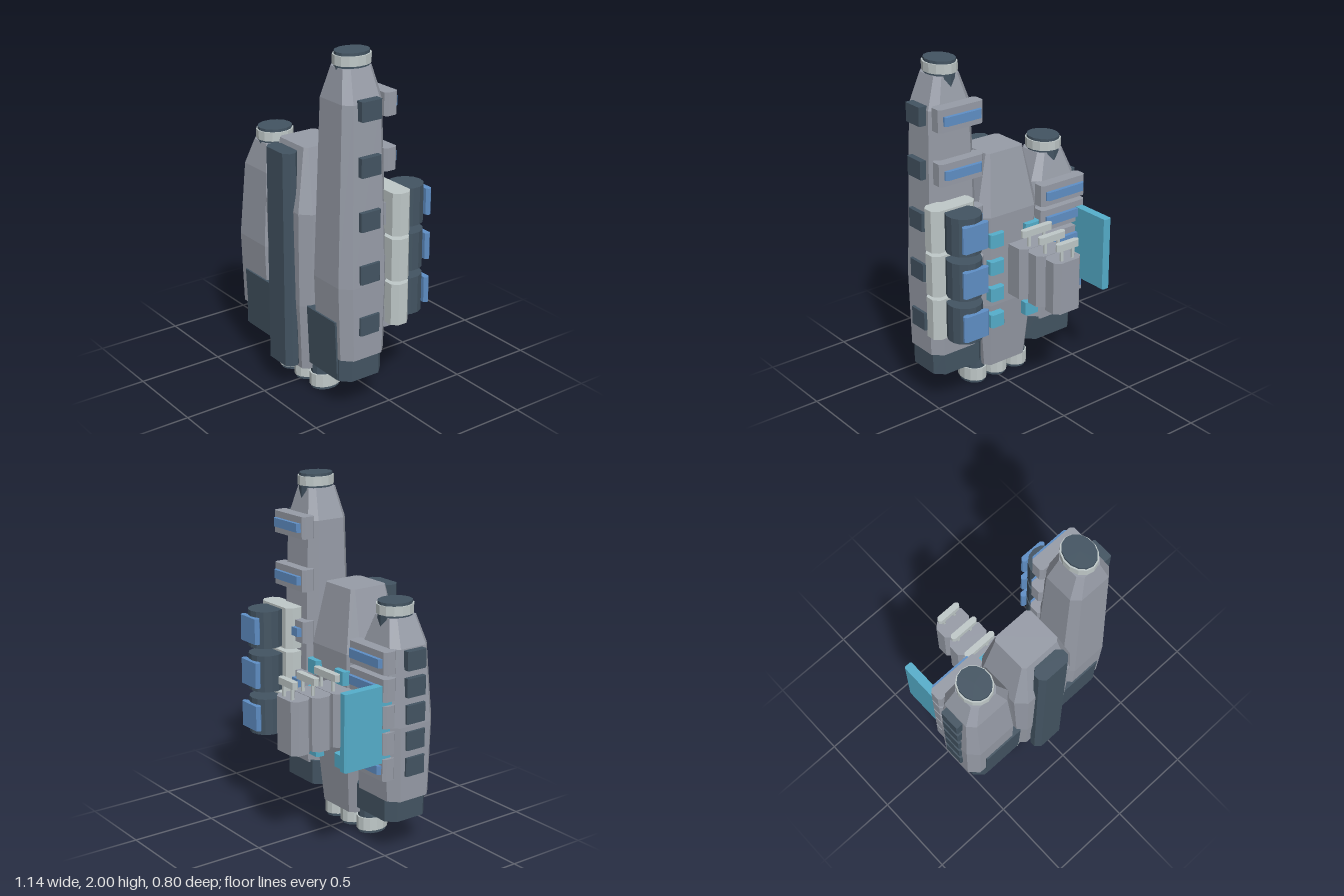
import * as THREE from 'three';

const mat = (name, color) => {
  const m = new THREE.MeshStandardMaterial({ color });
  m.name = name;
  return m;
};

export function createModel() {
  const root = new THREE.Group();
  root.name = 'spaceStation';
  const grey = mat('hull grey', 0x979ca7);
  const dark = mat('dark slate', 0x435462);
  const light = mat('pale metal', 0xbfc8c8);
  const blue = mat('window blue', 0x5f8fc6);
  const cyan = mat('panel cyan', 0x55aecb);

  const add = (name, geometry, material) => {
    const mesh = new THREE.Mesh(geometry, material);
    mesh.name = name;
    root.add(mesh);
    return mesh;
  };

  // Lofted prism with chamfered corners; sections are [y, x0, x1, z0, z1, chamfer]
  function loft(name, material, sections) {
    const rings = sections.map(([y, x0, x1, z0, z1, c]) => [
      [x1, z1 - c], [x1, z0 + c], [x1 - c, z0], [x0 + c, z0],
      [x0, z0 + c], [x0, z1 - c], [x0 + c, z1], [x1 - c, z1],
    ].map(([x, z]) => [x, y, z]));
    const pos = [];
    const tri = (a, b, c) => pos.push(...a, ...b, ...c);
    for (let s = 0; s < rings.length - 1; s++) {
      const lo = rings[s], hi = rings[s + 1];
      for (let i = 0; i < 8; i++) {
        const j = (i + 1) % 8;
        tri(lo[i], lo[j], hi[j]);
        tri(lo[i], hi[j], hi[i]);
      }
    }
    const bottom = rings[0], top = rings[rings.length - 1];
    for (let i = 1; i < 7; i++) {
      tri(top[0], top[i], top[i + 1]);
      tri(bottom[0], bottom[i + 1], bottom[i]);
    }
    const g = new THREE.BufferGeometry();
    g.setAttribute('position', new THREE.Float32BufferAttribute(pos, 3));
    g.computeVertexNormals();
    return add(name, g, material);
  }

  const block = (name, material, x0, x1, y0, y1, z0, z1, c = 0.012) =>
    loft(name, material, [[y0, x0, x1, z0, z1, c], [y1, x0, x1, z0, z1, c]]);

  // Faceted elliptical cylinder between two heights
  function drum(name, material, x, z, rx, rz, y0, y1) {
    const g = new THREE.CylinderGeometry(1, 1, y1 - y0, 14).toNonIndexed();
    g.scale(rx, 1, rz);
    g.translate(x, (y0 + y1) / 2, z);
    g.computeVertexNormals();
    return add(name, g, material);
  }

  // Central core and the dark spine on its front
  loft('core', grey, [
    [0.125, -0.165, 0.13, 0.03, 0.31, 0.03],
    [0.53, -0.205, 0.17, -0.005, 0.34, 0.045],
    [1.08, -0.228, 0.192, -0.02, 0.35, 0.055],
    [1.43, -0.145, 0.11, 0.04, 0.28, 0.018],
  ]);
  block('spine', dark, -0.12, 0.09, 0.15, 1.41, 0.3, 0.395, 0.03);

  // Engine nozzles
  for (const x of [-0.168, -0.018, 0.132]) {
    drum('nozzleNeck', dark, x, 0.172, 0.069, 0.087, 0, 0.25);
    drum('nozzleCollar', light, x, 0.172, 0.076, 0.097, 0.018, 0.095);
  }

  // Side towers: side is the outward x direction
  const towers = [
    { side: -1, x: -0.375, hw: 0.18, shoulder: 1.18, top: 1.33, step: 0.15, capX: 0.09, plate: 0.16, foot: [-0.52, -0.175], apron: [-0.455, -0.19] },
    { side: 1, x: 0.34, hw: 0.165, shoulder: 1.75, top: 1.92, step: 0.3, capX: 0.081, plate: 0.145, foot: [0.15, 0.485], apron: [0.16, 0.425] },
  ];
  for (const t of towers) {
    const ring = (y, w, d, c) => [y, t.x - w, t.x + w, 0.155 - d, 0.155 + d, c];
    loft('tower', grey, [
      ring(0.32, t.hw - 0.004, 0.145, 0.052),
      ring(0.75, t.hw, 0.16, 0.055),
      ring(t.shoulder, t.hw - 0.028, 0.128, 0.042),
      ring(t.top, t.capX, 0.092, 0.03),
    ]);

    // Dark foot with an apron climbing the front face
    block('towerFoot', dark, ...t.foot, 0.19, 0.335, 0.018, 0.3, 0.05);
    loft('footApron', dark, [
      [0.19, ...t.apron, 0.2, 0.302, 0.004],
      [0.54, ...t.apron, 0.2, 0.318, 0.004],
    ]);

    // Cap with pale collar
    drum('towerCap', dark, t.x, 0.15, t.capX, 0.1, t.top - 0.09, t.top + 0.08);
    drum('towerCollar', light, t.x, 0.15, t.capX + 0.009, 0.108, t.top + 0.012, t.top + 0.064);

    // Side hatches and rear window ledges
    for (let i = 0; i < 5; i++) {
      const y = 0.52 + i * t.step;
      const out = t.side < 0 ? -0.57 : 0.52;
      const inn = out - t.side * 0.07;
      block('sideHatch', dark, Math.min(out, inn), Math.max(out, inn), y - 0.053, y + 0.053, 0.088, 0.215, 0.006);
      block('rearLedge', grey, t.x - t.plate, t.x + t.plate, y - 0.063, y + 0.063, -0.042, 0.04, 0.015);
      block('rearWindow', blue, t.x - t.plate + 0.024, t.x + t.plate - 0.024, y - 0.025, y + 0.025, -0.064, -0.03);
    }
  }

  // Storage tanks on the taller tower
  for (const y of [0.61, 0.87, 1.13]) {
    block('tankMount', light, 0.28, 0.567, y - 0.12, y + 0.12, -0.088, 0.028, 0.03);
    drum('tank', dark, 0.422, -0.15, 0.098, 0.1, y - 0.108, y + 0.108);
    block('tankWindow', blue, 0.34, 0.505, y - 0.075, y + 0.075, -0.27, -0.235);
  }

  // Rear docking arm: three shrinking modules, each with a rail on posts
  for (let i = 0; i < 3; i++) {
    const w = 0.125 - i * 0.015, z = -0.14 - i * 0.13, cx = -0.115;
    block('armModule', grey, cx - w, cx + w, 0.58, 0.89, z, z + (i ? 0.126 : 0.16), 0.03);
    const rw = w - 0.018, rz = z + 0.03;
    block('armRail', light, cx - rw, cx + rw, 0.955, 0.995, rz - 0.018, rz + 0.018, 0.012);
    for (const s of [-0.5, 0.5]) {
      const px = cx + s * rw;
      block('railPost', light, px - 0.009, px + 0.009, 0.88, 0.96, rz - 0.009, rz + 0.009, 0.003);
    }
  }

  // Cyan tiles on the back of the core
  for (const x of [-0.143, 0.108]) {
    for (let i = 0; i < 4; i++) {
      const y = 0.455 + i * 0.165;
      block('rearTile', cyan, x - 0.048, x + 0.048, y - 0.04, y + 0.04, -0.052, 0.01);
    }
  }

  // Tall fin panel behind the shorter tower
  block('finPanel', cyan, -0.515, -0.465, 0.56, 0.997, -0.29, 0.03, 0.008);

  return root;
}
